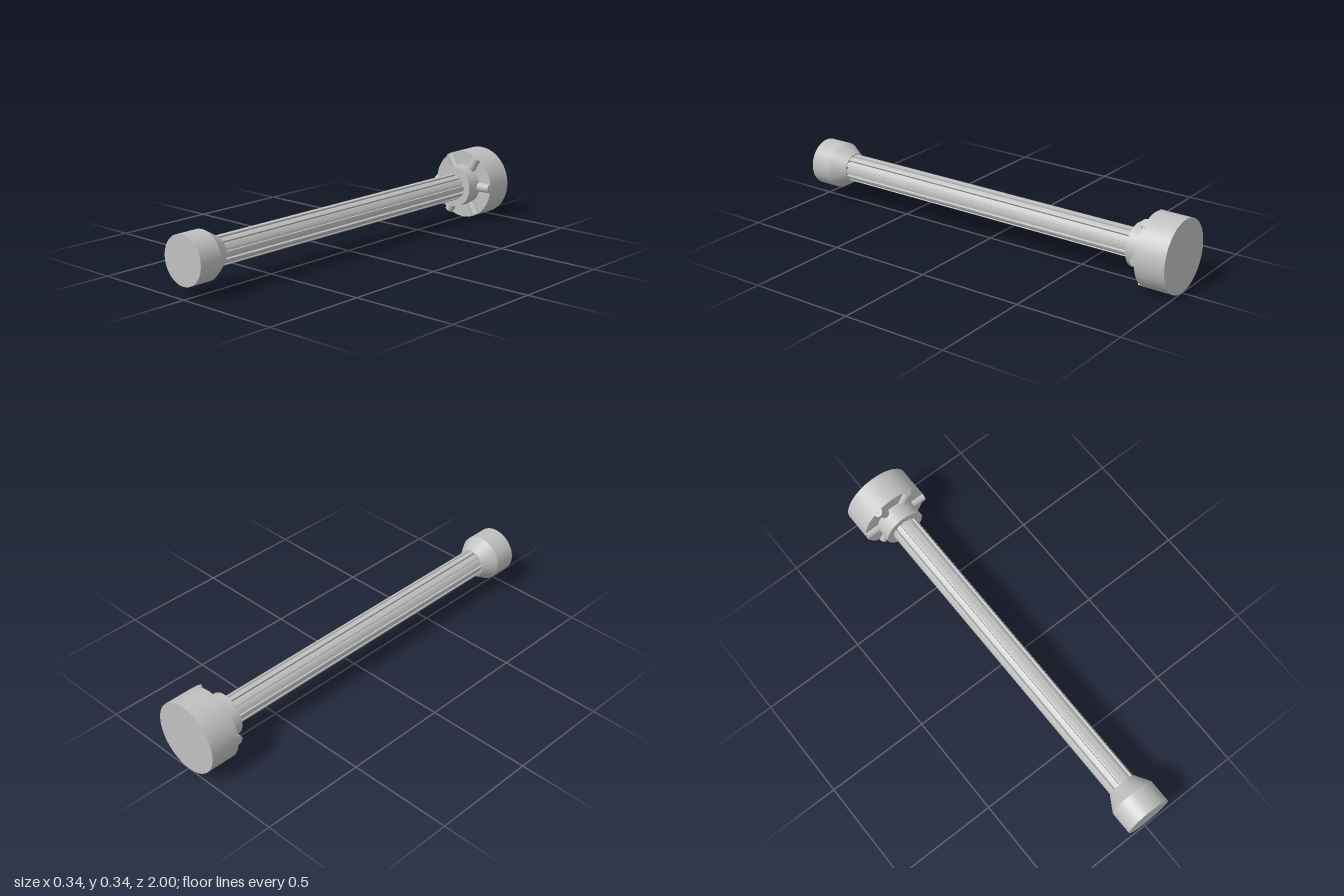
import * as THREE from 'three';

const AXIS_Y = 0.168;

export function createModel() {
  const model = new THREE.Group();
  const body = new THREE.Group();
  body.name = 'body';
  body.position.y = AXIS_Y;
  model.add(body);

  const metal = new THREE.MeshStandardMaterial({ color: 0xc0c0c0 });
  metal.name = 'grey metal';

  // Round section along z, from zBack (rBack) to zFront (rFront)
  function section(name, zBack, zFront, rBack, rFront = rBack) {
    const geometry = new THREE.CylinderGeometry(rFront, rBack, zFront - zBack, 64);
    geometry.rotateX(Math.PI / 2);
    geometry.translate(0, 0, (zBack + zFront) / 2);
    const mesh = new THREE.Mesh(geometry, metal);
    mesh.name = name;
    body.add(mesh);
  }

  section('head', -1, -0.857, 0.168);
  section('collar', -0.87, -0.775, 0.1);
  section('endTaper', 0.82, 0.89, 0.07, 0.111);
  section('endCap', 0.89, 1, 0.111);

  // Fluted shaft: wide ridges with narrow grooves between them
  const RIDGES = 12, OUTER = 0.066, INNER = 0.056;
  const step = (Math.PI * 2) / RIDGES;
  const profile = new THREE.Shape();
  for (let i = 0; i < RIDGES; i++) {
    const corners = [[-0.36, INNER], [-0.32, OUTER], [0, OUTER], [0.32, OUTER], [0.36, INNER]];
    corners.forEach(([offset, r], j) => {
      const a = (i + offset) * step;
      const x = Math.cos(a) * r, y = Math.sin(a) * r;
      if (i === 0 && j === 0) profile.moveTo(x, y);
      else profile.lineTo(x, y);
    });
  }
  profile.closePath();
  const shaftGeometry = new THREE.ExtrudeGeometry(profile, { depth: 1.62, bevelEnabled: false });
  shaftGeometry.translate(0, 0, -0.79);
  const shaft = new THREE.Mesh(shaftGeometry, metal);
  shaft.name = 'flutedShaft';
  body.add(shaft);

  // Six half-sunk radial rods on the front face of the head
  const rodGeometry = new THREE.CylinderGeometry(0.0225, 0.0225, 0.078, 24);
  rodGeometry.rotateZ(-Math.PI / 2);
  rodGeometry.translate(0.128, 0, -0.857);
  for (let i = 0; i < 6; i++) {
    const rod = new THREE.Mesh(rodGeometry, metal);
    rod.name = 'radialRod' + (i + 1);
    rod.rotation.z = (i * Math.PI) / 3;
    body.add(rod);
  }

  return model;
}
